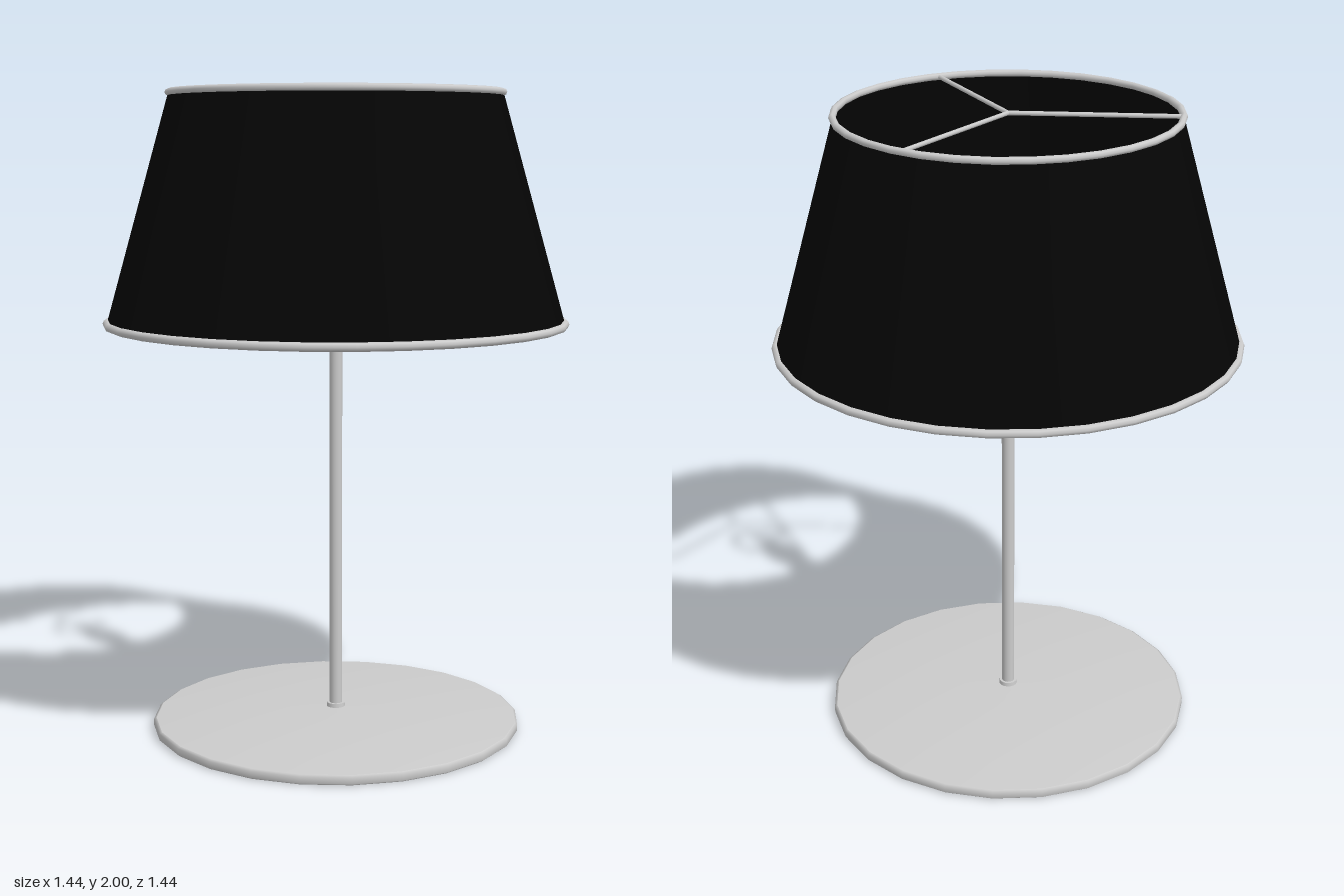
import * as THREE from 'three';

const grey = new THREE.MeshStandardMaterial({ color: 0xcccccc });
const black = new THREE.MeshStandardMaterial({ color: 0x050505, side: THREE.DoubleSide });
const cyan = new THREE.MeshStandardMaterial({ color: 0x45cdea });

const SIDES = 32;
const TOP = { y: 1.987, r: 0.508 };
const BOTTOM = { y: 1.287, r: 0.705 };

function add(parent, name, geometry, material = grey) {
  const mesh = new THREE.Mesh(geometry, material);
  mesh.name = name;
  parent.add(mesh);
  return mesh;
}

// Lathe from [radius, height] pairs, listed from bottom to top
function lathe(points, sides) {
  return new THREE.LatheGeometry(points.map(([r, y]) => new THREE.Vector2(r, y)), sides);
}

// Rim ring and three wire spokes at one end of the shade
function shadeFrame(parent, name, { y, r }, wire) {
  const frame = new THREE.Group();
  frame.name = name;
  frame.position.y = y;
  parent.add(frame);
  add(frame, 'rim', new THREE.TorusGeometry(r, wire, 8, SIDES)).rotation.x = Math.PI / 2;
  for (let i = 0; i < 3; i++) {
    const a = Math.PI + (i * Math.PI * 2) / 3;
    const spoke = add(frame, 'spoke', new THREE.CylinderGeometry(0.007, 0.007, r, 8));
    spoke.rotation.set(0, -a, -Math.PI / 2);
    spoke.position.set((Math.cos(a) * r) / 2, 0, (Math.sin(a) * r) / 2);
  }
}

// One bulb tube: a leg up, a tilted loop, and a leg back down
function bulbTube() {
  const c = new THREE.Vector3(0.031, 1.78, -0.028);
  const points = [new THREE.Vector3(0.035, 1.62, 0.03), new THREE.Vector3(0.035, 1.71, 0.03)];
  for (let i = 0; i <= 10; i++) {
    const a = 1.35 - (i / 10) * 4.9;
    const x = Math.cos(a) * 0.057, z = Math.sin(a) * 0.06;
    points.push(new THREE.Vector3(c.x + x, c.y + 0.45 * (0.57 * x + 0.82 * z), c.z + z));
  }
  points.push(new THREE.Vector3(0.005, 1.72, -0.012), new THREE.Vector3(0.02, 1.62, -0.03));
  return new THREE.TubeGeometry(new THREE.CatmullRomCurve3(points), 64, 0.009, 8);
}

export function createModel() {
  const lamp = new THREE.Group();
  lamp.name = 'tableLamp';

  // Shallow domed base, with a flat underside
  const base = new THREE.Group();
  base.name = 'base';
  lamp.add(base);
  add(base, 'dome', lathe(
    [[0.572, 0.03], [0.45, 0.04], [0.3, 0.048], [0.15, 0.053], [0, 0.055]], 24));
  add(base, 'edge', lathe(
    [[0.574, 0], [0.58, 0.005], [0.58, 0.025], [0.572, 0.03]], 24));
  add(base, 'underside', lathe([[0.02, 0.001], [0.574, 0]], 24));
  add(base, 'collar', new THREE.CylinderGeometry(0.028, 0.03, 0.02, 16)).position.y = 0.057;

  // Pole
  add(lamp, 'pole', new THREE.CylinderGeometry(0.02, 0.02, 1.298, 16)).position.y = 0.651;

  // Shade, open at both ends
  const shade = new THREE.Group();
  shade.name = 'shade';
  lamp.add(shade);
  add(shade, 'fabric', new THREE.CylinderGeometry(
    TOP.r, BOTTOM.r, TOP.y - BOTTOM.y, SIDES, 1, true), black)
    .position.y = (TOP.y + BOTTOM.y) / 2;
  shadeFrame(shade, 'topFrame', TOP, 0.011);
  shadeFrame(shade, 'bottomFrame', BOTTOM, 0.013);

  // Socket and bulb foot, with a narrower neck between them
  const bulb = new THREE.Group();
  bulb.name = 'bulb';
  lamp.add(bulb);
  add(bulb, 'socket', lathe(
    [[0, 1.29], [0.035, 1.29], [0.055, 1.32], [0.06, 1.35], [0.06, 1.41], [0.052, 1.43], [0, 1.43]], 12));
  add(bulb, 'neck', new THREE.CylinderGeometry(0.042, 0.042, 0.11, 12)).position.y = 1.48;
  add(bulb, 'bulbFoot', lathe(
    [[0, 1.525], [0.045, 1.525], [0.06, 1.545], [0.06, 1.62], [0.05, 1.645], [0, 1.645]], 12));

  // Two matching glass tubes, half a turn apart
  const tube = bulbTube();
  for (let i = 0; i < 2; i++) {
    add(bulb, 'glassTube', tube, cyan).rotation.y = i * Math.PI;
  }

  return lamp;
}
